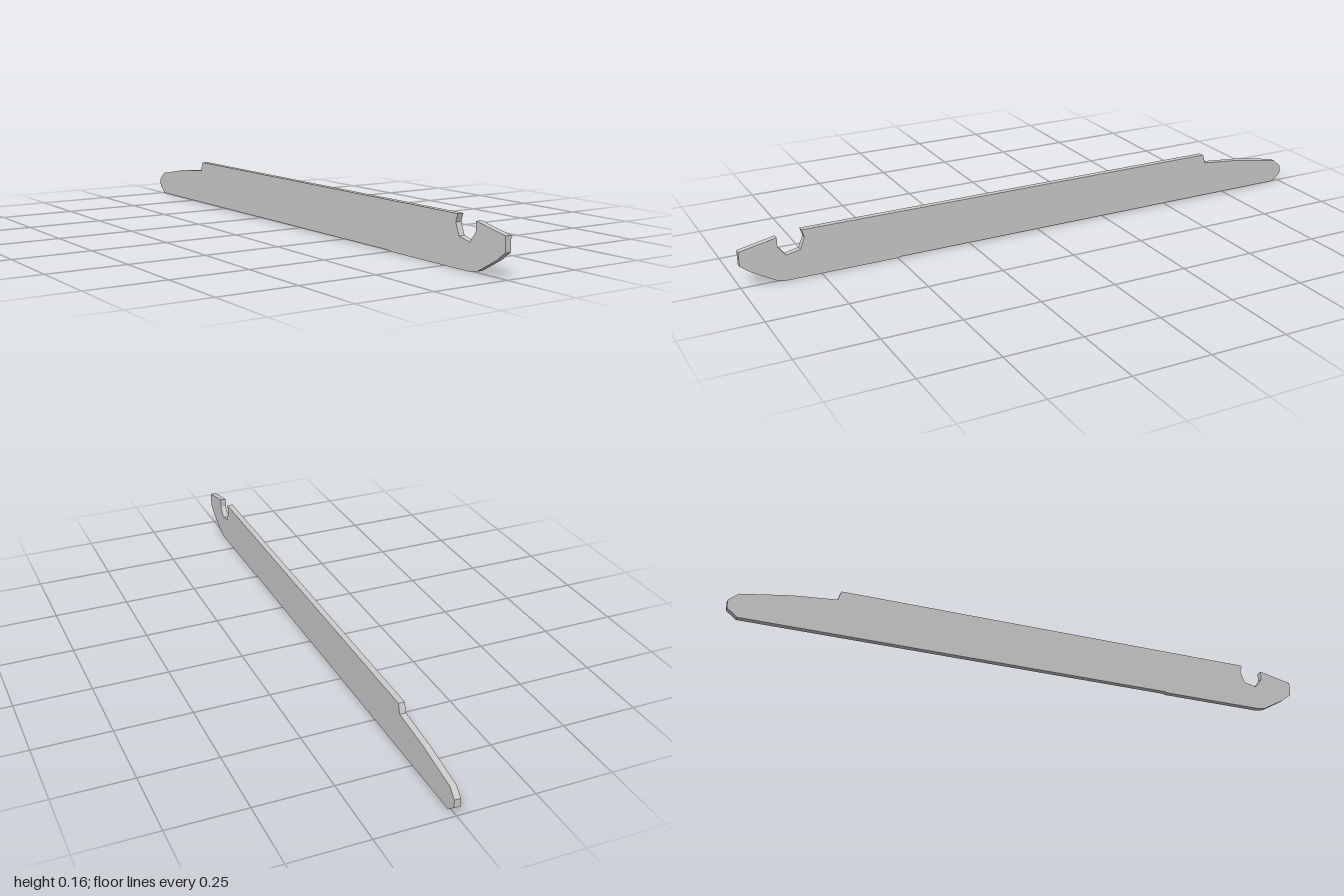
import * as THREE from 'three';

const THICKNESS = 0.02;

// Side outline as [z, y], starting at the front lower corner
const OUTLINE = [
  [1, 0.075], [1, 0.121], [0.882, 0.145],                          // nose
  [0.882, 0.115], [0.857, 0.083], [0.812, 0.093], [0.797, 0.13], [0.805, 0.155], // hook notch
  [-0.655, 0.155], [-0.665, 0.124],                                // top edge and step
  [-0.81, 0.11], [-0.97, 0.083], [-1, 0.057], [-1, 0.03], [-0.968, 0.004], // tapered tail
  [0.49, 0.003], [0.5, 0], [0.86, 0], [0.89, 0.006], [0.965, 0.048], // underside and chin
];

export function createModel() {
  const group = new THREE.Group();
  group.name = 'notchedBar';

  // Flat plate: extruded outline, turned so the profile runs along z
  const shape = new THREE.Shape(OUTLINE.map(([z, y]) => new THREE.Vector2(z, y)));
  const geometry = new THREE.ExtrudeGeometry(shape, { depth: THICKNESS, bevelEnabled: false });
  geometry.translate(0, 0, -THICKNESS / 2).rotateY(-Math.PI / 2);

  const plate = new THREE.Mesh(
    geometry,
    new THREE.MeshStandardMaterial({ color: 0xcccccc, flatShading: true })
  );
  plate.name = 'plate';
  group.add(plate);
  return group;
}
